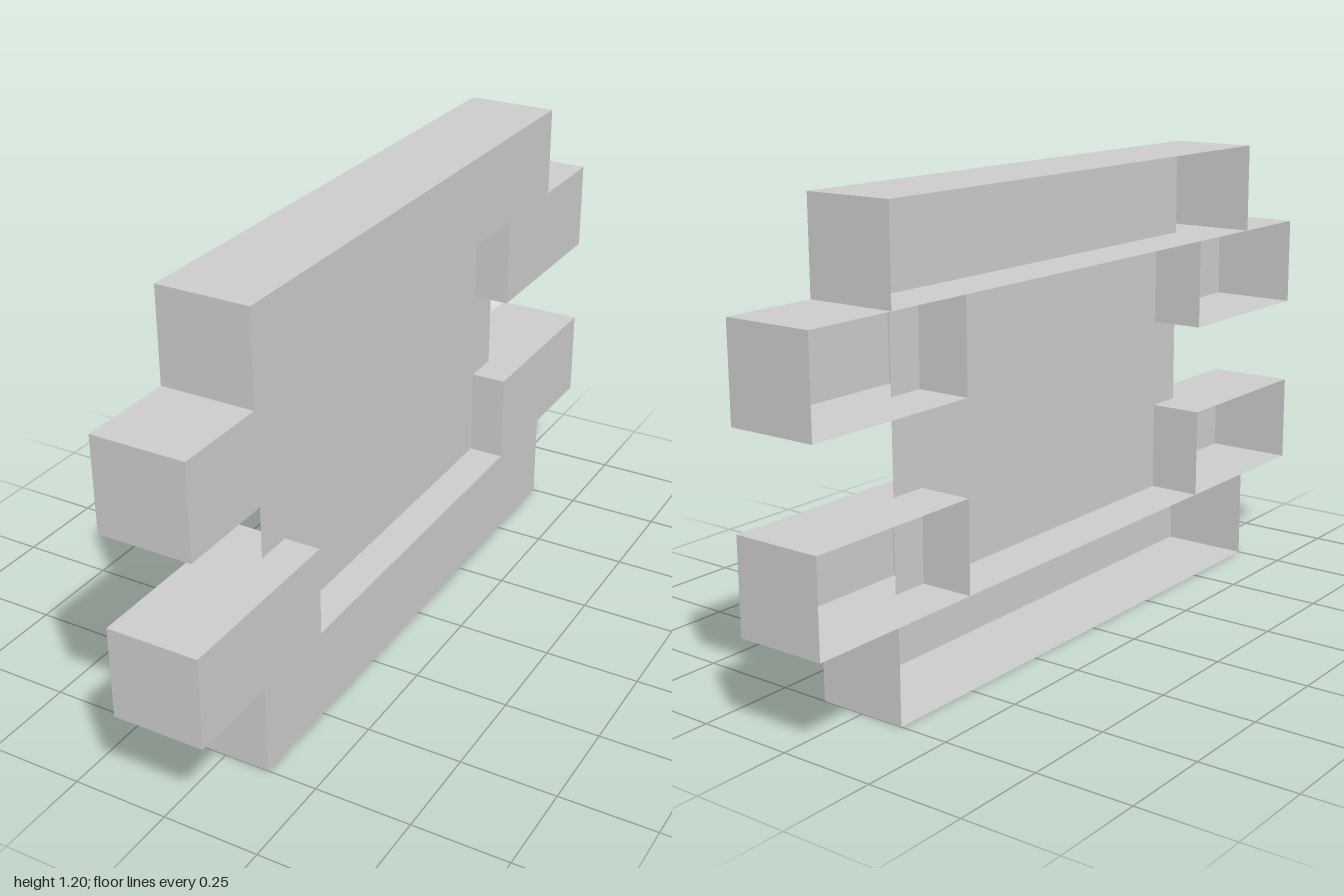
import * as THREE from 'three';

const material = new THREE.MeshStandardMaterial({ color: 0xcccccc, flatShading: true, side: THREE.DoubleSide });
const DEPTH = 0.239, MID = 0.598, PANEL_X = 0.024;

function sheet(name, width, height) {
  const mesh = new THREE.Mesh(new THREE.PlaneGeometry(width, height), material);
  mesh.name = name;
  return mesh;
}

// Sheet facing x, spanning z and y
function sideSheet(name, x, z0, z1, y0, y1) {
  const mesh = sheet(name, z1 - z0, y1 - y0);
  mesh.rotation.y = Math.PI / 2;
  mesh.position.set(x, (y0 + y1) / 2, (z0 + z1) / 2);
  return mesh;
}

// Horizontal sheet across the full depth
function shelf(name, y, z0, z1) {
  const mesh = sheet(name, DEPTH, z1 - z0);
  mesh.rotation.x = -Math.PI / 2;
  mesh.position.set(0, y, (z0 + z1) / 2);
  return mesh;
}

// Upright sheet closing the hollow in z
function endWall(name, z, y0, y1) {
  const mesh = sheet(name, DEPTH, y1 - y0);
  mesh.position.set(0, (y0 + y1) / 2, z);
  return mesh;
}

// One half of the frame: hollow rail with a hollow arm at each end, open towards -x
function createRail(name, top) {
  const rail = new THREE.Group();
  rail.name = name;
  const y = (h) => (top ? MID + h : MID - h); // height measured from the middle
  const [inner, shoulder, outer] = [0.12, 0.359, 0.598];
  const span = (a, b) => [Math.min(y(a), y(b)), Math.max(y(a), y(b))];

  rail.add(sideSheet('railFace', DEPTH / 2, -0.75, 0.75, ...span(shoulder, outer)));
  rail.add(shelf('railOuterWall', y(outer), -0.75, 0.75));
  rail.add(shelf('railInnerWall', y(shoulder), -1, 1));
  for (const s of [-1, 1]) {
    const [z0, z1] = s > 0 ? [0.5, 1] : [-1, -0.5];
    rail.add(endWall('railEnd', s * 0.75, ...span(shoulder, outer)));
    rail.add(sideSheet('armFace', DEPTH / 2, z0, z1, ...span(inner, shoulder)));
    rail.add(shelf('armInnerWall', y(inner), z0, z1));
    rail.add(endWall('armEnd', s, ...span(inner, shoulder)));
    rail.add(endWall('armOpeningWall', s * 0.5, ...span(inner, shoulder)));
  }
  return rail;
}

export function createModel() {
  const model = new THREE.Group();
  model.name = 'panelFrame';
  model.add(createRail('upperRail', true), createRail('lowerRail', false));
  // Thin panel held inside the rails
  model.add(sideSheet('centrePanel', PANEL_X, -0.6, 0.6, MID - 0.478, MID + 0.478));
  return model;
}
